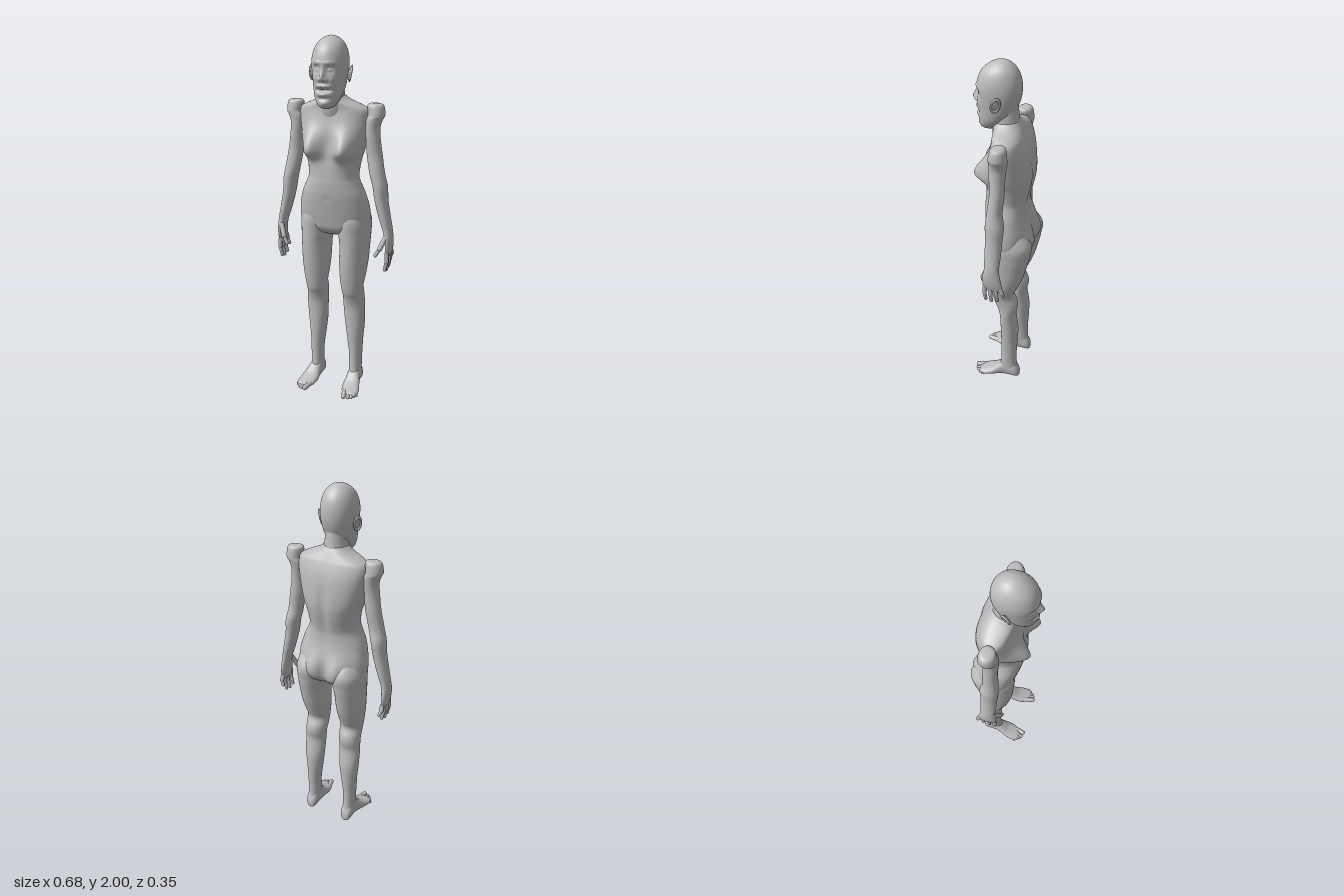
import * as THREE from 'three';

const skin = new THREE.MeshStandardMaterial({ color: 0xbcbcbc });
skin.name = 'grey skin';

const bump = (v, centre, width) => Math.exp(-(((v - centre) / width) ** 2));

// Smooth closed loft. Rows run top to bottom: [y, centreX, halfWidth, zFront, zBack].
function loft(rows, { steps = 6, segs = 36, power = 2, shape } = {}) {
  const pos = [], index = [];
  const at = (i) => rows[Math.max(0, Math.min(rows.length - 1, i))];
  const spline = (a, b, c, d, t) =>
    0.5 * (2 * b + (c - a) * t + (2 * a - 5 * b + 4 * c - d) * t * t + (3 * b - a - 3 * c + d) * t * t * t);
  const rings = (rows.length - 1) * steps + 1;
  const round = (v) => Math.sign(v) * Math.abs(v) ** (2 / power);
  const point = new THREE.Vector3();
  for (let r = 0; r < rings; r++) {
    const i = Math.min(Math.floor(r / steps), rows.length - 2), t = r / steps - i;
    const [y, cx, hw, zf, zb] = at(i).map((_, k) => spline(at(i - 1)[k], at(i)[k], at(i + 1)[k], at(i + 2)[k], t));
    for (let j = 0; j < segs; j++) {
      const a = (j / segs) * Math.PI * 2;
      point.set(cx + hw * round(Math.sin(a)), y, (zf + zb) / 2 + ((zf - zb) / 2) * round(Math.cos(a)));
      if (shape) shape(point, Math.cos(a));
      pos.push(point.x, point.y, point.z);
      if (r < rings - 1) {
        const n = (j + 1) % segs, p = r * segs, q = p + segs;
        index.push(p + j, q + j, q + n, p + j, q + n, p + n);
      }
    }
  }
  // End caps
  const last = (rings - 1) * segs, pole = rings * segs;
  for (const [y, cx, , zf, zb] of [rows[0], rows[rows.length - 1]]) pos.push(cx, y, (zf + zb) / 2);
  for (let j = 0; j < segs; j++) {
    const n = (j + 1) % segs;
    index.push(pole, j, n, pole + 1, last + n, last + j);
  }
  const geo = new THREE.BufferGeometry();
  geo.setAttribute('position', new THREE.Float32BufferAttribute(pos, 3));
  geo.setIndex(index);
  geo.computeVertexNormals();
  return geo;
}

function add(parent, name, geo) {
  const mesh = new THREE.Mesh(geo, skin);
  mesh.name = name;
  parent.add(mesh);
  return mesh;
}

// Chain of rounded segments through the given points, used for fingers and toes
function digit(parent, name, points, radii) {
  for (let i = 0; i < points.length - 1; i++) {
    const a = new THREE.Vector3(...points[i]), b = new THREE.Vector3(...points[i + 1]);
    const dir = b.clone().sub(a);
    const mesh = add(parent, name, new THREE.CapsuleGeometry(radii[i], dir.length(), 5, 12));
    mesh.position.copy(a).add(b).multiplyScalar(0.5);
    mesh.quaternion.setFromUnitVectors(new THREE.Vector3(0, 1, 0), dir.normalize());
  }
}

// Breasts, buttocks, spine groove and navel
function shapeTorso(p, front) {
  const x = Math.abs(p.x);
  if (front > 0) {
    p.z += 0.066 * bump(x, 0.098, 0.05) * bump(p.y, 1.42, p.y > 1.42 ? 0.085 : 0.045) * Math.min(1, front * 2.5);
    p.z -= 0.012 * bump(x, 0, 0.03) * bump(p.y, 1.43, 0.08);
    p.z -= 0.006 * bump(x, 0, 0.01) * bump(p.y, 1.16, 0.012);
  } else {
    const w = Math.min(1, -front * 2.5);
    p.z -= 0.032 * w * bump(x, 0.072, 0.05) * bump(p.y, 1.03, 0.07);
    p.z += 0.018 * w * bump(x, 0, 0.016) * bump(p.y, 1.01, 0.07);
    p.z += 0.012 * w * bump(x, 0, 0.025) * bump(p.y, 1.38, 0.16);
  }
}

// Brow, eyes, nose, open lips and chin
function shapeFace(p, front) {
  if (front <= 0) return;
  const x = Math.abs(p.x), y = p.y;
  const w = Math.min(1, front * 2);
  let d = -0.014 * bump(x, 0.036, 0.02) * bump(y, 1.842, 0.018);
  d += 0.009 * bump(x, 0.036, 0.012) * bump(y, 1.838, 0.009);
  d += 0.006 * bump(x, 0.035, 0.03) * bump(y, 1.872, 0.01);
  d += 0.03 * bump(x, 0, 0.011 + 0.06 * Math.max(0, 1.83 - y) * 2) * bump(y, 1.795, y > 1.795 ? 0.04 : 0.012);
  d += 0.01 * bump(x, 0.018, 0.008) * bump(y, 1.79, 0.01);
  d += 0.008 * bump(x, 0.05, 0.02) * bump(y, 1.79, 0.025);
  d += 0.013 * bump(x, 0, 0.034) * bump(y, 1.758, 0.009);
  d -= 0.026 * bump(x, 0, 0.032) * bump(y, 1.738, 0.009);
  d += 0.012 * bump(x, 0, 0.03) * bump(y, 1.717, 0.01);
  d -= 0.008 * bump(x, 0, 0.03) * bump(y, 1.695, 0.01);
  d += 0.006 * bump(x, 0, 0.025) * bump(y, 1.67, 0.015);
  p.z += d * w;
}

function buildSide(body, s, label) {
  const side = new THREE.Group();
  side.name = label + 'Limbs';
  body.add(side);
  const flip = (rows) => rows.map(([y, cx, ...rest]) => [y, cx * s, ...rest]);

  // Arm with a raised shoulder cap, down to the palm
  add(side, label + 'Arm', loft(flip([
    [1.664, 0.222, 0.026, -0.005, -0.045], [1.652, 0.224, 0.044, 0.014, -0.062],
    [1.605, 0.23, 0.044, 0.024, -0.07], [1.58, 0.218, 0.044, 0.026, -0.068],
    [1.54, 0.212, 0.039, 0.026, -0.062], [1.48, 0.216, 0.039, 0.025, -0.056],
    [1.4, 0.225, 0.042, 0.022, -0.055], [1.3, 0.243, 0.042, 0.03, -0.05],
    [1.23, 0.26, 0.04, 0.035, -0.063], [1.15, 0.27, 0.036, 0.032, -0.058],
    [1.05, 0.293, 0.031, 0.03, -0.055], [0.99, 0.309, 0.026, 0.028, -0.052],
    [0.94, 0.317, 0.021, 0.036, -0.06], [0.89, 0.318, 0.016, 0.036, -0.07],
    [0.86, 0.315, 0.012, 0.03, -0.07], [0.845, 0.314, 0.007, 0.022, -0.062],
  ]), { segs: 28 }));

  // Fingers: base z, middle z, tip z, tip y
  for (const [z0, z1, z2, y] of [[0.024, 0.026, 0.024, 0.775], [-0.006, -0.007, -0.008, 0.767],
    [-0.035, -0.039, -0.042, 0.777], [-0.06, -0.07, -0.075, 0.815]]) {
    digit(side, label + 'Finger', [[0.316 * s, 0.87, z0], [0.318 * s, (0.87 + y) / 2, z1], [0.308 * s, y, z2]], [0.0115, 0.0095]);
  }
  digit(side, label + 'Thumb', [[0.308 * s, 0.96, 0.02], [0.284 * s, 0.9, 0.045], [0.263 * s, 0.862, 0.053]], [0.014, 0.01]);

  // Leg from hip to ankle
  add(side, label + 'Leg', loft(flip([
    [1.12, 0.1, 0.06, 0.05, -0.1], [1.03, 0.106, 0.09, 0.076, -0.165],
    [0.95, 0.11, 0.088, 0.076, -0.16], [0.88, 0.113, 0.082, 0.074, -0.146],
    [0.78, 0.111, 0.08, 0.068, -0.12], [0.7, 0.109, 0.073, 0.058, -0.088],
    [0.65, 0.108, 0.066, 0.05, -0.07], [0.6, 0.108, 0.063, 0.04, -0.092],
    [0.56, 0.11, 0.062, 0.022, -0.095], [0.5, 0.112, 0.063, 0.006, -0.085],
    [0.4, 0.114, 0.058, 0.002, -0.1], [0.3, 0.116, 0.047, 0, -0.1],
    [0.2, 0.12, 0.038, -0.003, -0.095], [0.12, 0.12, 0.036, 0, -0.096],
    [0.06, 0.12, 0.034, 0.01, -0.105], [0.03, 0.12, 0.026, 0, -0.1],
  ])));

  // Foot lofted from ball to heel, then laid flat
  add(side, label + 'Foot', loft(flip([
    [0.13, 0.145, 0.024, -0.005, -0.02], [0.12, 0.144, 0.036, -0.001, -0.028],
    [0.09, 0.137, 0.05, 0, -0.038], [0.05, 0.13, 0.05, 0, -0.055],
    [0.02, 0.126, 0.044, 0, -0.078], [-0.02, 0.121, 0.037, 0, -0.11],
    [-0.06, 0.12, 0.035, 0, -0.12], [-0.09, 0.12, 0.033, 0, -0.1],
    [-0.109, 0.12, 0.024, -0.003, -0.065], [-0.115, 0.12, 0.01, -0.015, -0.045],
  ]), { power: 2.3, segs: 28 }).rotateX(Math.PI / 2));

  // Toes: base x, base z, tip x, tip z, radius
  for (const [x0, z0, x1, z1, r] of [[0.109, 0.1, 0.121, 0.15, 0.0145], [0.133, 0.1, 0.146, 0.146, 0.01],
    [0.148, 0.1, 0.161, 0.135, 0.01], [0.16, 0.09, 0.173, 0.12, 0.0095], [0.17, 0.08, 0.182, 0.105, 0.009]]) {
    digit(side, label + 'Toe', [[x0 * s, 0.018, z0], [x1 * s, r, z1]], [r]);
  }

  // Ear: flat shell with a raised rim
  const ear = new THREE.Group();
  ear.name = label + 'Ear';
  ear.position.set(0.1 * s, 1.815, 0.03);
  ear.rotation.set(-0.2, s * 0.45, -s * 0.12);
  add(ear, label + 'EarShell', new THREE.SphereGeometry(1, 20, 16).scale(0.008, 0.036, 0.022));
  add(ear, label + 'EarRim', new THREE.TorusGeometry(0.02, 0.0055, 8, 28).rotateY(Math.PI / 2).scale(1, 1.75, 1))
    .position.x = 0.005 * s;
  side.add(ear);
}

export function createModel() {
  const body = new THREE.Group();
  body.name = 'figure';

  // Torso from collar to crotch
  add(body, 'torso', loft([
    [1.7, 0, 0.06, 0.06, -0.06], [1.675, 0, 0.095, 0.062, -0.076],
    [1.65, 0, 0.155, 0.06, -0.09], [1.625, 0, 0.19, 0.06, -0.103],
    [1.57, 0, 0.192, 0.072, -0.124], [1.5, 0, 0.182, 0.09, -0.138],
    [1.42, 0, 0.165, 0.1, -0.145], [1.36, 0, 0.146, 0.1, -0.14],
    [1.28, 0, 0.136, 0.105, -0.122], [1.24, 0, 0.146, 0.108, -0.116],
    [1.18, 0, 0.174, 0.106, -0.12], [1.1, 0, 0.195, 0.095, -0.138],
    [1.03, 0, 0.199, 0.083, -0.143], [0.985, 0, 0.18, 0.073, -0.14],
    [0.955, 0, 0.12, 0.05, -0.12], [0.938, 0, 0.05, 0.02, -0.09],
  ], { segs: 80, power: 2.3, shape: shapeTorso }));

  // Neck leaning forward into the skull
  add(body, 'neck', loft([
    [1.8, 0, 0.055, 0.07, -0.05], [1.72, 0, 0.06, 0.078, -0.059],
    [1.67, 0, 0.067, 0.078, -0.07], [1.62, 0, 0.085, 0.072, -0.09],
    [1.56, 0, 0.08, 0.06, -0.1],
  ]));

  // Bald head with modelled face
  add(body, 'head', loft([
    [2, 0, 0.004, 0.034, 0.026], [1.992, 0, 0.033, 0.066, -0.006],
    [1.97, 0, 0.061, 0.102, -0.035], [1.94, 0, 0.079, 0.13, -0.056],
    [1.9, 0, 0.09, 0.147, -0.068], [1.86, 0, 0.093, 0.152, -0.071],
    [1.82, 0, 0.09, 0.149, -0.067], [1.78, 0, 0.084, 0.147, -0.055],
    [1.74, 0, 0.078, 0.147, -0.035], [1.7, 0, 0.068, 0.145, 0],
    [1.67, 0, 0.053, 0.143, 0.03], [1.65, 0, 0.035, 0.134, 0.055],
    [1.641, 0, 0.012, 0.115, 0.08],
  ], { steps: 10, segs: 112, power: 2.1, shape: shapeFace }));

  buildSide(body, 1, 'left');
  buildSide(body, -1, 'right');
  return body;
}
